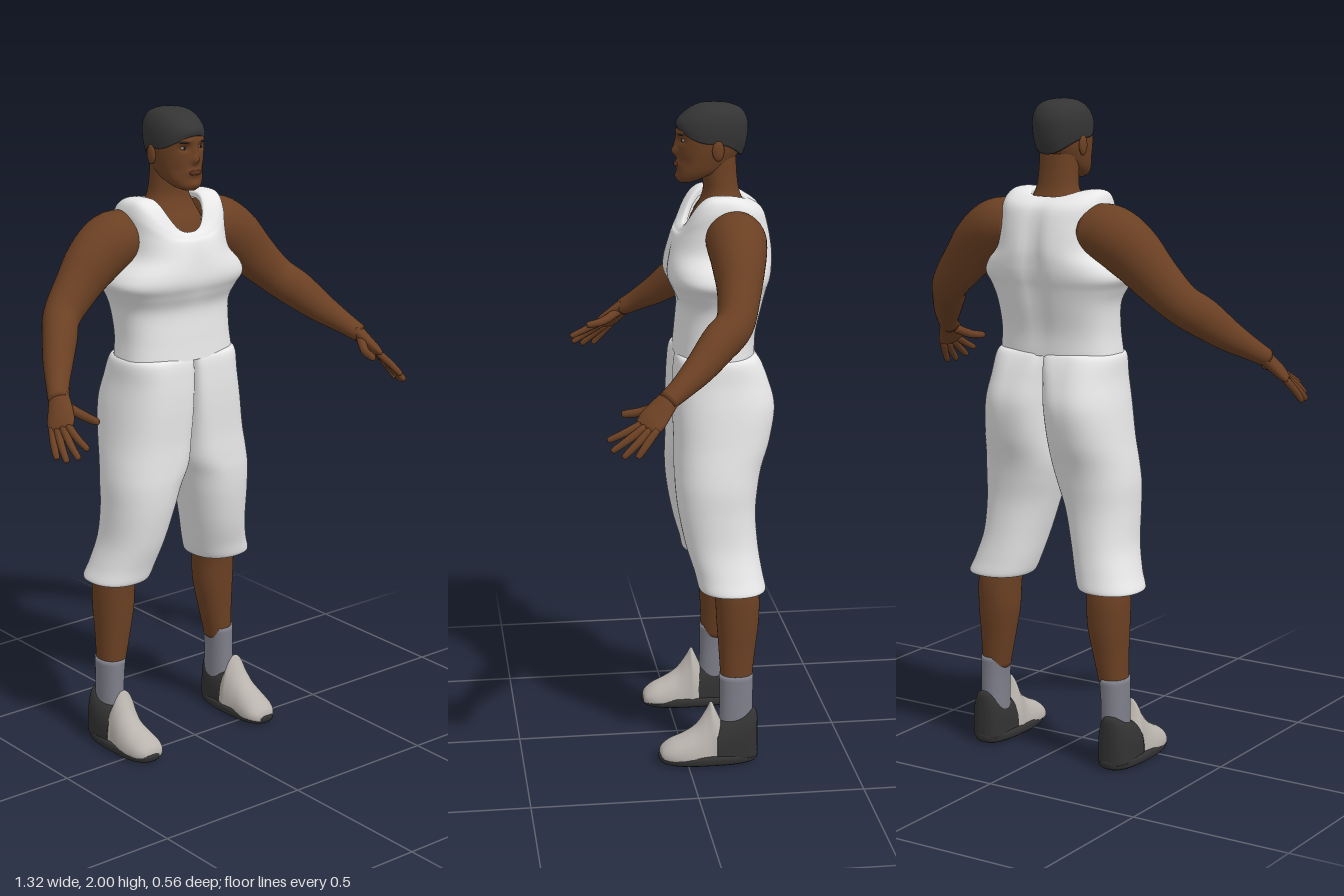
import * as THREE from 'three';

const paint = (name, color, side = THREE.FrontSide) => {
  const m = new THREE.MeshStandardMaterial({ color, side });
  m.name = name;
  return m;
};

// smooth interpolation through a table of cross-sections, t = 0..1; short rows are padded with 0
function table(rows) {
  const size = Math.max(...rows.map(r => r.length));
  const values = rows.flatMap(r => Array.from({ length: size }, (_, k) => r[k] ?? 0));
  const f = new THREE.CubicInterpolant(rows.map((_, i) => i), new Float32Array(values), size);
  return t => Array.from(f.evaluate(t * (rows.length - 1)));
}

// skin over rings: point(t, angle) gives [x, y, z]; mirror = -1 flips x
function loft(point, { steps = 40, seg = 40, mirror = 1, capped = true } = {}) {
  const pos = [], idx = [];
  for (let i = 0; i <= steps; i++)
    for (let j = 0; j < seg; j++) {
      const [x, y, z] = point(i / steps, (j / seg) * Math.PI * 2);
      pos.push(x * mirror, y, z);
    }
  for (let i = 0; i < steps; i++)
    for (let j = 0; j < seg; j++) {
      const a = i * seg + j, b = i * seg + (j + 1) % seg;
      idx.push(a, a + seg, b, b, a + seg, b + seg);
    }
  if (capped) for (const i of [0, steps]) {
    const c = [0, 0, 0], n = pos.length / 3;
    for (let j = 0; j < seg; j++) for (let k = 0; k < 3; k++) c[k] += pos[(i * seg + j) * 3 + k] / seg;
    pos.push(...c);
    for (let j = 0; j < seg; j++) {
      const a = i * seg + j, b = i * seg + (j + 1) % seg;
      idx.push(n, ...(i ? [b, a] : [a, b]));
    }
  }
  const g = new THREE.BufferGeometry();
  g.setAttribute('position', new THREE.Float32BufferAttribute(pos, 3));
  // turn the faces outwards
  g.computeBoundingBox();
  const mid = g.boundingBox.getCenter(new THREE.Vector3());
  const v = i => new THREE.Vector3(...pos.slice(i * 3, i * 3 + 3)).sub(mid);
  let volume = 0;
  for (let i = 0; i < idx.length; i += 3) volume += v(idx[i]).dot(v(idx[i + 1]).cross(v(idx[i + 2])));
  if (volume < 0) idx.reverse();
  g.setIndex(idx);
  g.computeVertexNormals();
  return g;
}

const spow = (v, p) => Math.sign(v) * Math.abs(v) ** p;
const bump = (x, y, cx, cy, sx, sy) => Math.exp(-(((x - cx) / sx) ** 2) - ((y - cy) / sy) ** 2);

// level rings: [y, x0, x1, zFront, zBack, frontDip, backDip, innerFrontPower, innerBackPower]
function stack(rows, opts = {}) {
  const f = table(rows), n = opts.power || 2.2;
  return loft((t, a) => {
    const [y, x0, x1, zf, zb, df = 0, db = 0, nf = n, nb = n] = f(t);
    const c = Math.cos(a), s = Math.sin(a);
    const p = 2 / (c > 0 ? n : s > 0 ? nf : nb);
    const pt = [(x0 + x1) / 2 + spow(c, p) * (x1 - x0) / 2,
      y - (s > 0 ? df : db) * s * s,
      (zf + zb) / 2 + spow(s, p) * (zf - zb) / 2];
    if (opts.warp) pt[2] += opts.warp(pt[0], pt[1], s);
    return pt;
  }, opts);
}
const sym = rows => rows.map(([y, x, ...rest]) => [y, -x, x, ...rest]);

// limb along a path: [x, y, z, thickness radius, width radius]
function limb(rows, opts = {}) {
  const f = table(rows), across = opts.across;
  return loft((t, a) => {
    const r = f(t), P = new THREE.Vector3(r[0], r[1], r[2]);
    const T = new THREE.Vector3(...f(Math.min(1, t + 0.01)).slice(0, 3))
      .sub(new THREE.Vector3(...f(Math.max(0, t - 0.01)).slice(0, 3))).normalize();
    const H = across ? new THREE.Vector3(...across) : T.clone().cross(new THREE.Vector3(0, 1, 0));
    H.addScaledVector(T, -H.dot(T)).normalize();
    const N = H.clone().cross(T);
    return P.addScaledVector(N, r[3] * Math.cos(a)).addScaledVector(H, r[4] * Math.sin(a)).toArray();
  }, opts);
}

export function createModel() {
  const model = new THREE.Group();
  const skin = paint('skin', 0x6b4023), cloth = paint('white cloth', 0xeaeaea, THREE.DoubleSide);
  const hair = paint('hair', 0x343434), sock = paint('sock grey', 0x7f7f8b);
  const leather = paint('shoe grey', 0xbab4ae), rubber = paint('shoe black', 0x323232);
  const lip = paint('lip brown', 0x57301f), white = paint('eye white', 0x9c9088), iris = paint('iris', 0x1c110b);
  const add = (name, geo, mat, parent = model) => {
    const m = new THREE.Mesh(geo, mat);
    m.name = name;
    parent.add(m);
    return m;
  };
  const ball = (name, mat, p, r, parent) => {
    const m = add(name, new THREE.SphereGeometry(1, 20, 14), mat, parent);
    m.position.set(...p);
    m.scale.set(...r);
    return m;
  };

  // head with modelled brow, nose, mouth and chin
  const head = new THREE.Group();
  head.name = 'head';
  model.add(head);
  const face = (x, y, s) => s <= 0 ? 0 : s * (
    0.016 * bump(x, y, 0, 1.856, 0.013, 0.014) + 0.009 * bump(x, y, 0, 1.88, 0.009, 0.02)
    - 0.010 * bump(Math.abs(x), y, 0.031, 1.892, 0.015, 0.010)
    + 0.004 * bump(Math.abs(x), y, 0.028, 1.913, 0.022, 0.008)
    + 0.008 * bump(x, y, 0, 1.818, 0.024, 0.011) + 0.006 * bump(x, y, 0, 1.782, 0.022, 0.012)
    - 0.006 * bump(Math.abs(x), y, 0.05, 1.825, 0.015, 0.02));
  add('face', stack(sym([
    [1.763, 0.018, -0.008, -0.05, 0, -0.02], [1.775, 0.043, 0.0, -0.09, 0, -0.02], [1.80, 0.060, 0.001, -0.14, 0, -0.01],
    [1.84, 0.070, 0.0, -0.175], [1.88, 0.075, 0.0, -0.195], [1.92, 0.075, 0.002, -0.205], [1.95, 0.072, -0.008, -0.205],
    [1.975, 0.06, -0.035, -0.19], [1.992, 0.035, -0.07, -0.15]]), { steps: 72, seg: 80, warp: face }), skin, head);
  add('shortHair', stack(sym([
    [1.885, 0.077, 0.002, -0.193, -0.042, 0.045], [1.915, 0.079, 0.004, -0.207, -0.025, 0.03],
    [1.95, 0.075, -0.004, -0.211, -0.005, 0.01], [1.978, 0.062, -0.03, -0.193], [1.994, 0.04, -0.06, -0.16],
    [2.0, 0.006, -0.1, -0.12]]), { steps: 30, seg: 48 }), hair, head);
  ball('mouth', lip, [0, 1.818, 0.003], [0.022, 0.008, 0.0075], head);
  for (const s of [1, -1]) {
    ball('ear', skin, [s * 0.076, 1.865, -0.112], [0.009, 0.03, 0.018], head);
    ball('eye', white, [s * 0.031, 1.892, -0.016], [0.011, 0.005, 0.007], head);
    ball('iris', iris, [s * 0.031, 1.892, -0.011], [0.0045, 0.0045, 0.003], head);
    ball('eyebrow', hair, [s * 0.032, 1.909, -0.006], [0.017, 0.0035, 0.006], head).rotation.y = s * 0.3;
  }
  add('neck', stack(sym([
    [1.58, 0.12, -0.02, -0.22], [1.655, 0.105, -0.04, -0.21], [1.70, 0.085, -0.065, -0.2],
    [1.74, 0.066, -0.078, -0.185], [1.79, 0.06, -0.075, -0.178], [1.85, 0.058, -0.07, -0.175]])), skin);

  // sleeveless top: chest swell, spine groove, dipped neckline
  add('tankTop', stack(sym([
    [1.248, 0.194, 0.012, -0.228], [1.32, 0.187, 0.005, -0.232], [1.40, 0.192, 0.0, -0.25],
    [1.45, 0.212, 0.02, -0.262], [1.485, 0.232, 0.036, -0.272], [1.52, 0.218, 0.038, -0.278],
    [1.57, 0.175, 0.028, -0.28], [1.64, 0.167, 0.014, -0.268, 0.03], [1.70, 0.166, 0.004, -0.25, 0.08, 0.01],
    [1.735, 0.145, -0.006, -0.215, 0.105, 0.02], [1.735, 0.088, -0.02, -0.198, 0.1, 0.02],
    [1.715, 0.083, -0.03, -0.192, 0.1, 0.02]]), {
    steps: 60, seg: 80, power: 2.6, capped: false,
    warp: (x, y, s) => s > 0 ? -0.010 * s * bump(x, y, 0, 1.52, 0.03, 0.07) : -0.018 * s * bump(x, y, 0, 1.52, 0.03, 0.18),
  }), cloth);

  const fingers = {
    indexFinger: [[0.597, 1.198, 0.172], [0.602, 1.172, 0.225], [0.6, 1.15, 0.274]],
    middleFinger: [[0.61, 1.19, 0.168], [0.621, 1.155, 0.22], [0.625, 1.125, 0.265]],
    ringFinger: [[0.62, 1.184, 0.155], [0.636, 1.145, 0.198], [0.645, 1.112, 0.235]],
    littleFinger: [[0.626, 1.184, 0.138], [0.643, 1.145, 0.17], [0.652, 1.112, 0.196]],
    thumb: [[0.568, 1.238, 0.12], [0.541, 1.214, 0.17], [0.527, 1.204, 0.226]],
  };

  for (const mirror of [1, -1]) {
    const side = mirror > 0 ? 'left' : 'right';
    const group = name => {
      const g = new THREE.Group();
      g.name = side + name;
      model.add(g);
      return g;
    };

    // arm, palm and fingers
    const arm = group('Arm');
    add('arm', limb([
      [0.13, 1.62, -0.15, 0.08, 0.085], [0.2, 1.61, -0.15, 0.09, 0.088], [0.27, 1.565, -0.145, 0.086, 0.078],
      [0.34, 1.495, -0.135, 0.073, 0.063], [0.41, 1.425, -0.112, 0.061, 0.055], [0.455, 1.38, -0.06, 0.059, 0.052],
      [0.505, 1.325, 0, 0.047, 0.044], [0.55, 1.28, 0.06, 0.034, 0.034], [0.578, 1.25, 0.105, 0.027, 0.031]],
    { mirror }), skin, arm);
    add('palm', limb([
      [0.568, 1.262, 0.09, 0.024, 0.029], [0.588, 1.228, 0.125, 0.02, 0.038], [0.604, 1.202, 0.15, 0.017, 0.042],
      [0.614, 1.186, 0.168, 0.01, 0.036]], { mirror, across: [0.03, -0.015, -0.04], steps: 14, seg: 24 }), skin, arm);
    for (const [name, [a, b, c]] of Object.entries(fingers)) {
      const r = name === 'thumb' ? 0.014 : 0.0115;
      const end = c.map((v, k) => v + (b[k] - v) * 0.12);
      add(name, limb([[...a, r, r], [...b, r * 0.95, r * 0.95], [...end, r * 0.75, r * 0.75], [...c, 0.002, 0.002]],
        { mirror, steps: 12, seg: 12 }), skin, arm);
    }

    // half of the shorts: flat along the middle seam, round below it, hem turned in
    add(side + 'ShortsLeg', stack([
      [1.262, 0, 0.175, -0.01, -0.21, 0, 0, 9, 8], [1.247, 0, 0.2, 0.012, -0.234, 0, 0, 9, 7],
      [1.18, 0, 0.208, 0.02, -0.262, 0, 0, 8, 4], [1.1, 0, 0.222, 0.022, -0.28, 0, 0, 7, 3],
      [1.0, 0, 0.235, 0.02, -0.265, 0, 0, 5, 2.7], [0.92, 0, 0.247, 0.022, -0.24, 0, 0, 3.5, 2.5],
      [0.86, 0.012, 0.253, 0.022, -0.228, 0, 0, 2.4, 2.4], [0.78, 0.035, 0.253, 0.014, -0.22, 0, 0, 2.2, 2.2],
      [0.68, 0.062, 0.258, -0.006, -0.225, 0, 0, 2.2, 2.2], [0.6, 0.083, 0.28, -0.03, -0.236, 0, 0, 2.2, 2.2],
      [0.553, 0.10, 0.298, -0.042, -0.244, 0, 0, 2.2, 2.2], [0.556, 0.116, 0.282, -0.058, -0.23, 0, 0, 2.2, 2.2],
      [0.62, 0.11, 0.265, -0.05, -0.22, 0, 0, 2.2, 2.2]], { mirror, steps: 72, seg: 56, capped: false }), cloth);

    // lower leg and sock
    add(side + 'Calf', stack([
      [0.75, 0.10, 0.235, -0.05, -0.195], [0.62, 0.12, 0.25, -0.075, -0.21], [0.53, 0.133, 0.262, -0.09, -0.225],
      [0.44, 0.137, 0.262, -0.096, -0.224], [0.35, 0.154, 0.258, -0.102, -0.213], [0.24, 0.178, 0.256, -0.108, -0.2]],
    { mirror }), skin);
    add(side + 'Sock', stack([
      [0.278, 0.174, 0.261, -0.102, -0.206], [0.2, 0.181, 0.261, -0.103, -0.205], [0.08, 0.183, 0.261, -0.1, -0.205]],
    { mirror, steps: 10 }), sock);

    // shoe sections along z: [z, x centre, half width, top, power]
    const shoe = group('Shoe');
    const shell = rows => {
      const f = table(rows);
      return loft((t, a) => {
        const [z, xc, w, top, n] = f(t), c = Math.cos(a), s = Math.sin(a);
        return [xc + spow(c, 2 / (s > 0 ? n : 4)) * w,
          0.03 + (s > 0 ? spow(s, 2 / n) * (top - 0.03) : spow(s, 0.5) * 0.015), z];
      }, { mirror, steps: 30, seg: 36 });
    };
    add('upper', shell([
      [0.083, 0.226, 0.015, 0.034, 2], [0.076, 0.226, 0.036, 0.052, 2], [0.05, 0.227, 0.053, 0.073, 2],
      [0.01, 0.23, 0.058, 0.092, 2], [-0.03, 0.231, 0.057, 0.122, 1.8], [-0.06, 0.228, 0.055, 0.166, 1.8],
      [-0.076, 0.226, 0.054, 0.192, 1.9], [-0.09, 0.228, 0.053, 0.165, 2], [-0.11, 0.229, 0.05, 0.12, 2]]), leather, shoe);
    add('heel', shell([
      [-0.088, 0.23, 0.054, 0.125, 2.4], [-0.115, 0.231, 0.0545, 0.137, 2.6], [-0.16, 0.231, 0.053, 0.15, 3],
      [-0.195, 0.231, 0.046, 0.166, 3], [-0.211, 0.231, 0.032, 0.165, 3], [-0.218, 0.231, 0.012, 0.15, 3]]), rubber, shoe);
    add('sole', stack([
      [0, 0.18, 0.28, 0.065, -0.205], [0.008, 0.17, 0.29, 0.082, -0.217], [0.024, 0.168, 0.292, 0.088, -0.22],
      [0.032, 0.173, 0.287, 0.083, -0.216]], { mirror, steps: 8, seg: 44, power: 2.6 }), rubber, shoe);
  }
  return model;
}
